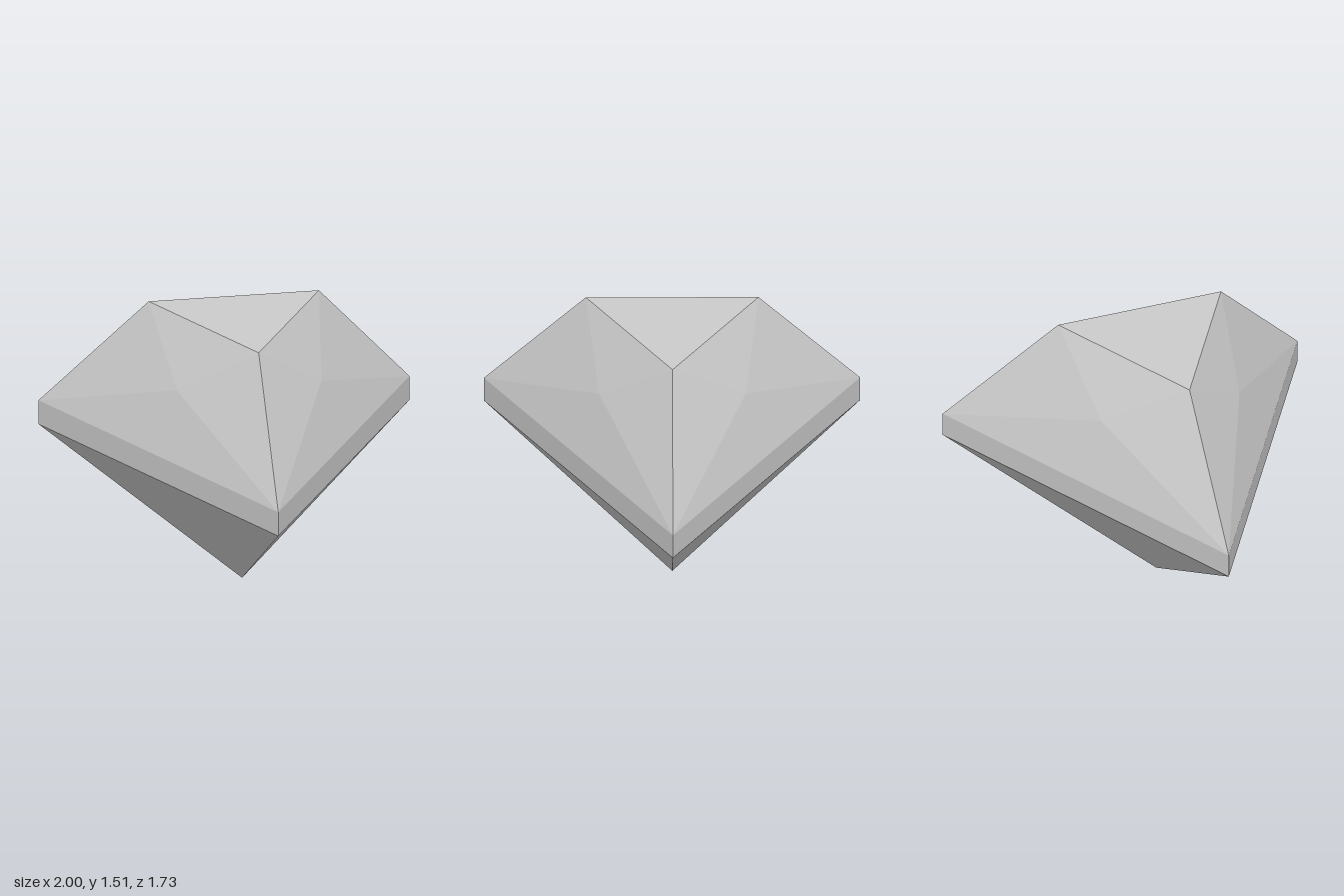
import * as THREE from 'three';

const CENTRE_Z = 0.289;

// Point at a radius and angle around the gem's axis (0 degrees = front)
function ring(radius, degrees, y) {
  const a = THREE.MathUtils.degToRad(degrees);
  return new THREE.Vector3(radius * Math.sin(a), y, CENTRE_Z + radius * Math.cos(a));
}

// Flat-faceted mesh from a list of triangle corners
function facets(name, points, material) {
  const geometry = new THREE.BufferGeometry().setFromPoints(points);
  geometry.computeVertexNormals();
  const mesh = new THREE.Mesh(geometry, material);
  mesh.name = name;
  return mesh;
}

export function createModel() {
  const gem = new THREE.Group();
  gem.name = 'triangularGem';
  const stone = new THREE.MeshStandardMaterial({ color: 0xcccccc });
  stone.name = 'paleGreyStone';
  stone.flatShading = true;

  const pavilion = [], girdle = [], crown = [], table = [];
  const tip = new THREE.Vector3(0, 0, CENTRE_Z);

  // The three sides repeat around the axis
  for (let i = 0; i < 3; i++) {
    const a = 60 + i * 120, b = a + 120;
    const lowA = ring(1.1547, a, 0.717), lowB = ring(1.1547, b, 0.717);
    const highA = ring(1.1547, a, 0.854), highB = ring(1.1547, b, 0.854);
    const topA = ring(0.53, a, 1.515), topB = ring(0.53, b, 1.515);
    const bulge = ring(0.45, a + 60, 1.2);

    pavilion.push(tip, lowB, lowA);
    girdle.push(lowA, lowB, highB, lowA, highB, highA);
    // Four crown facets meet at a raised point mid-side
    crown.push(
      highA, highB, bulge,
      highB, topB, bulge,
      topB, topA, bulge,
      topA, highA, bulge
    );
    table.push(topA);
  }

  gem.add(
    facets('pavilion', pavilion, stone),
    facets('girdle', girdle, stone),
    facets('crown', crown, stone),
    facets('table', table, stone)
  );
  return gem;
}
